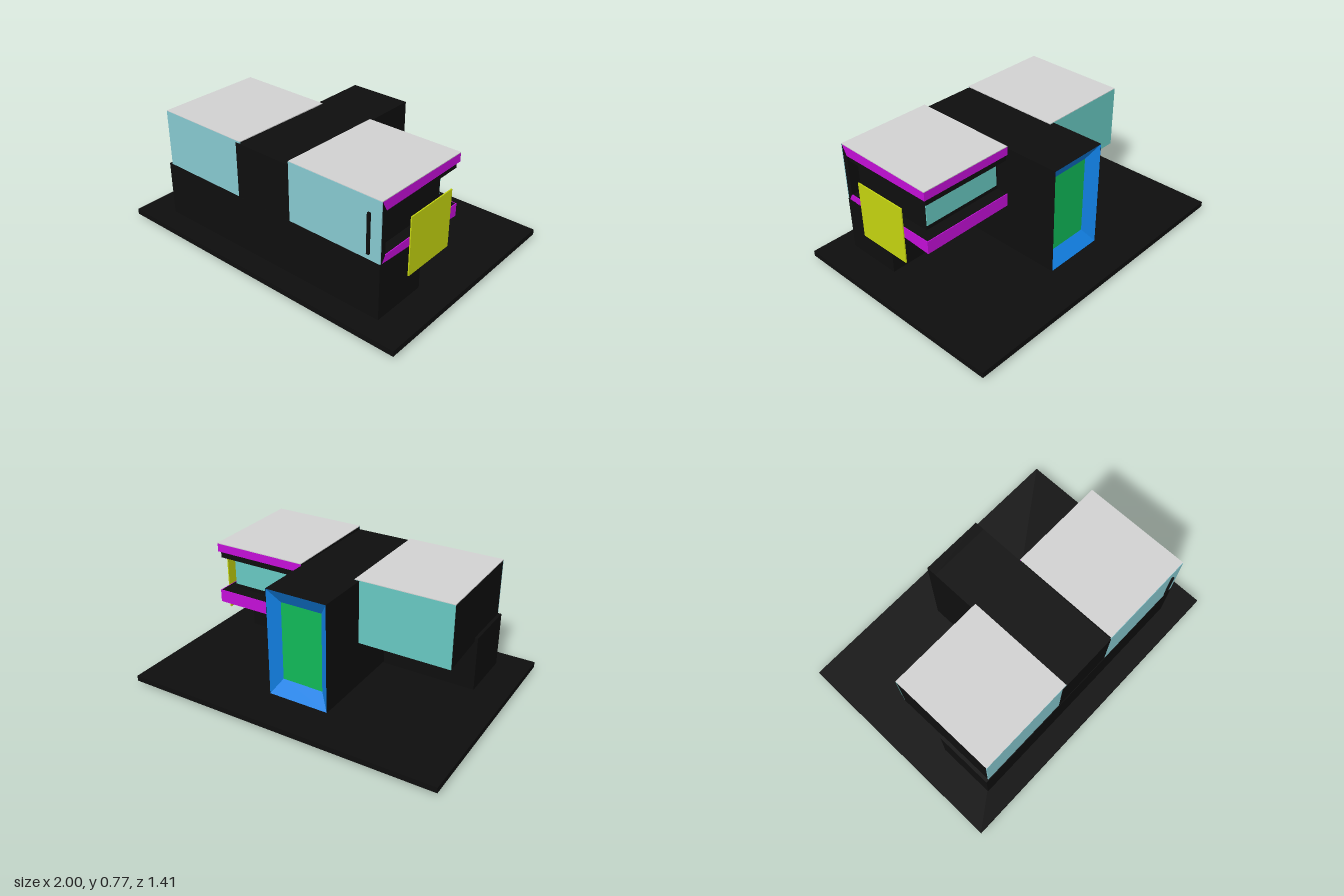
import * as THREE from 'three';

const mat = (name, color, double) => {
  const m = new THREE.MeshStandardMaterial({ color });
  m.name = name;
  if (double) m.side = THREE.DoubleSide;
  return m;
};

export function createModel() {
  const black = mat('black', 0x0e0e0e);
  const grey = mat('roof grey', 0xd2d2d2);
  const glass = mat('front glass', 0x88cad2);
  const rearGlass = mat('rear glass', 0x68c8c2);
  const magenta = mat('magenta', 0xc40fd8);
  const yellow = mat('yellow', 0xc6d610);
  const blue = mat('blue', 0x1283ea, true);
  const green = mat('green', 0x10b958);

  const house = new THREE.Group();
  house.name = 'house';

  const add = (name, geometry, material) => {
    const mesh = new THREE.Mesh(geometry, material);
    mesh.name = name;
    house.add(mesh);
    return mesh;
  };
  // Box given by its limits on each axis
  const box = (name, material, [x0, x1], [y0, y1], [z0, z1]) => {
    const g = new THREE.BoxGeometry(x1 - x0, y1 - y0, z1 - z0);
    g.translate((x0 + x1) / 2, (y0 + y1) / 2, (z0 + z1) / 2);
    return add(name, g, material);
  };
  // Side profile of [z, y] points, extruded from x0 to x1
  const prism = (name, material, [x0, x1], profile) => {
    const shape = new THREE.Shape(profile.map(([z, y]) => new THREE.Vector2(-z, y)));
    const g = new THREE.ExtrudeGeometry(shape, { depth: x1 - x0, bevelEnabled: false });
    g.rotateY(Math.PI / 2).translate(x0, 0, 0);
    return add(name, g, material);
  };

  // Ground slab and lower storey
  box('groundSlab', black, [-1, 1], [0.02, 0.055], [-0.705, 0.705]);
  box('lowerStorey', black, [-0.8, 0.8], [0, 0.4], [0.21, 0.57]);

  // Central hall, hollowed at the rear for the entrance
  const x0 = -0.2, x1 = 0.19, y0 = 0.065, y1 = 0.743, zOut = -0.457, zIn = -0.4;
  box('hall', black, [x0, x1], [y0, y1], [zIn + 0.005, 0.568]);
  box('hallRoofEdge', black, [x0, x1], [y1 - 0.002, y1], [zOut, zIn + 0.005]);
  box('hallFloorEdge', black, [x0, x1], [y0, y0 + 0.002], [zOut, zIn + 0.005]);
  for (const x of [x0, x1 - 0.002]) box('hallSideEdge', black, [x, x + 0.002], [y0, y1], [zOut, zIn + 0.005]);

  // Splayed entrance surround and door
  const outer = [[x0 + 0.002, y0 + 0.002], [x1 - 0.002, y0 + 0.002], [x1 - 0.002, y1 - 0.002], [x0 + 0.002, y1 - 0.002]];
  const inner = [[-0.135, 0.155], [0.13, 0.155], [0.13, 0.65], [-0.135, 0.65]];
  const splay = [];
  for (let i = 0; i < 4; i++) {
    const j = (i + 1) % 4;
    const a = [...outer[i], zOut], b = [...outer[j], zOut], c = [...inner[j], zIn], d = [...inner[i], zIn];
    splay.push(...a, ...c, ...b, ...a, ...d, ...c);
  }
  const surround = new THREE.BufferGeometry();
  surround.setAttribute('position', new THREE.Float32BufferAttribute(splay, 3));
  surround.computeVertexNormals();
  add('entranceSurround', surround, blue);
  box('entranceDoor', green, [-0.135, 0.13], [0.155, 0.65], [zIn, zIn + 0.005]);

  // Right upper room: closed, glazed front and back
  const rx = [-0.78, -0.17];
  prism('rightRoom', black, rx, [[0.56, 0.4], [0.56, 0.75], [-0.105, 0.742], [-0.105, 0.35]]);
  prism('rightRoof', grey, rx, [[0.565, 0.75], [0.565, 0.755], [-0.11, 0.748], [-0.11, 0.742]]);
  box('rightFrontGlass', glass, rx, [0.4, 0.752], [0.56, 0.566]);
  box('rightRearGlass', rearGlass, rx, [0.35, 0.744], [-0.111, -0.105]);

  // Left upper room: slabs that wrap a recessed corner
  const lx = [0.19, 0.795];
  const roofBand = [[0.563, 0.762], [0.53, 0.7], [-0.105, 0.7], [-0.105, 0.752]];
  const floorBand = [[0.555, 0.4], [0.53, 0.44], [-0.105, 0.44], [-0.105, 0.36]];
  prism('leftRoofSlab', black, lx, roofBand);
  prism('leftFloorSlab', black, lx, floorBand);
  prism('leftRoofSideBand', magenta, [0.795, 0.8], roofBand);
  prism('leftFloorSideBand', magenta, [0.795, 0.8], floorBand);
  box('leftRoofRearBand', magenta, [0.19, 0.8], [0.7, 0.752], [-0.11, -0.105]);
  box('leftFloorRearBand', magenta, [0.19, 0.8], [0.36, 0.44], [-0.11, -0.105]);
  prism('leftRoof', grey, [0.19, 0.8], [[0.567, 0.762], [0.567, 0.767], [-0.11, 0.757], [-0.11, 0.752]]);
  prism('leftFrontWall', black, [0.19, 0.8],
    [[0.563, 0.4], [0.563, 0.762], [0.53, 0.7], [0.53, 0.44], [0.555, 0.4]]);
  box('leftFrontGlass', glass, [0.19, 0.8], [0.402, 0.764], [0.563, 0.569]);
  box('leftCeilingStep', black, [0.19, 0.785], [0.66, 0.702], [-0.1, 0.54]);
  box('leftRoomCore', black, [0.19, 0.72], [0.43, 0.67], [-0.03, 0.55]);
  box('leftSidePanel', black, [0.718, 0.735], [0.438, 0.68], [-0.03, 0.58]);
  box('leftRearWindow', rearGlass, [0.205, 0.732], [0.47, 0.642], [-0.036, -0.03]);

  // Freestanding shade beside the left room
  box('sideShade', yellow, [0.841, 0.848], [0.252, 0.612], [0.027, 0.385]);

  return house;
}
